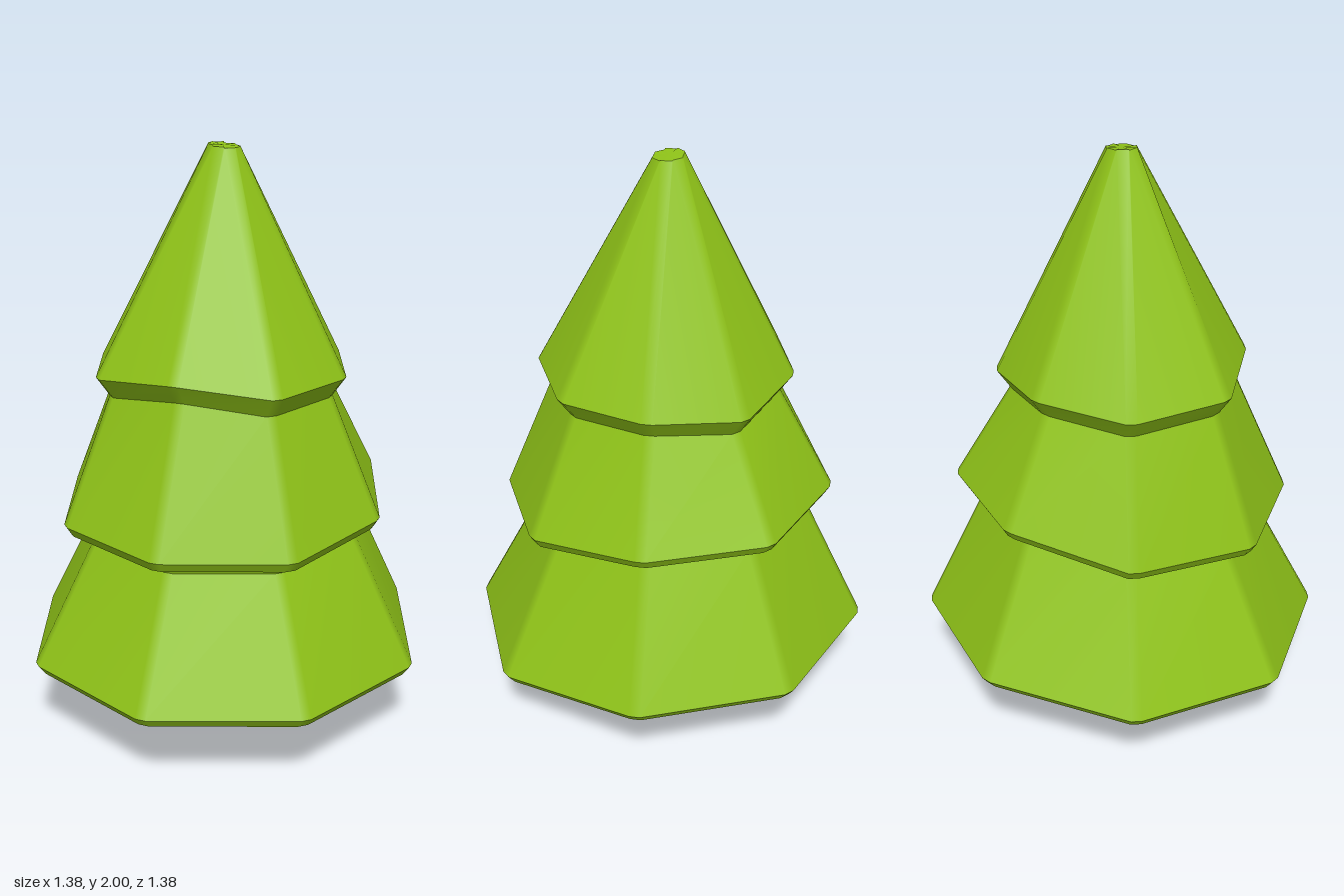
import * as THREE from 'three';

const BEVEL = 0.018; // half width of the small flat on each corner

// Ring of eight bevelled corners, starting at the front and turning towards +x.
// r and y are one number, or eight numbers (one per corner).
function ring(r, y) {
  const at = (v, i) => (Array.isArray(v) ? v[i] : v);
  const points = [];
  for (let i = 0; i < 8; i++) {
    const a = (i * Math.PI) / 4, s = Math.sin(a), c = Math.cos(a);
    for (const t of [-BEVEL, BEVEL]) {
      points.push(new THREE.Vector3(s * at(r, i) + c * t, at(y, i), c * at(r, i) - s * t));
    }
  }
  return points;
}

const shift = (values, d) => values.map((v) => v + d);

// Bands between successive rings; each band has its own vertices so ring edges stay
// sharp, while area-weighted normals round the bevelled corners.
function tier(name, rings, material, { capBottom = false, capTop = false } = {}) {
  const pos = [], index = [];
  const add = (points) => {
    const start = pos.length / 3;
    points.forEach((p) => pos.push(p.x, p.y, p.z));
    return start;
  };
  for (let k = 0; k < rings.length - 1; k++) {
    const a = add(rings[k]), b = add(rings[k + 1]);
    for (let i = 0; i < 16; i++) {
      const j = (i + 1) % 16;
      index.push(a + i, a + j, b + j, a + i, b + j, b + i);
    }
  }
  const cap = (points, up) => {
    const centre = points.reduce((s, p) => s.add(p), new THREE.Vector3()).divideScalar(16);
    const o = add(points), c = add([centre]);
    for (let i = 0; i < 16; i++) {
      const j = (i + 1) % 16;
      if (up) index.push(c, o + i, o + j);
      else index.push(c, o + j, o + i);
    }
  };
  if (capBottom) cap(rings[0], false);
  if (capTop) cap(rings[rings.length - 1], true);
  const geometry = new THREE.BufferGeometry();
  geometry.setAttribute('position', new THREE.Float32BufferAttribute(pos, 3));
  geometry.setIndex(index);
  geometry.computeVertexNormals();
  const mesh = new THREE.Mesh(geometry, material);
  mesh.name = name;
  return mesh;
}

export function createModel() {
  const group = new THREE.Group();
  group.name = 'pineTree';
  const green = new THREE.MeshStandardMaterial({ color: 0x8fc318 });
  const brown = new THREE.MeshStandardMaterial({ color: 0x8a7b62 });

  // Uneven rim heights and radii, corner by corner
  const lowY = [0.275, 0.275, 0.275, 0.33, 0.33, 0.33, 0.295, 0.275];
  const midY = [0.765, 0.765, 0.79, 0.855, 0.855, 0.855, 0.79, 0.765];
  const topY = [1.297, 1.263, 1.263, 1.275, 1.245, 1.27, 1.26, 1.263];
  const midR = [0.57, 0.57, 0.555, 0.56, 0.565, 0.56, 0.565, 0.57];
  const topR = [0.413, 0.44, 0.425, 0.42, 0.415, 0.415, 0.448, 0.445];

  // Shared rings where one tier meets the next
  const lowNeck = ring(0.47, shift(midY, -0.072));
  const midNeck = ring(shift(topR, -0.046), shift(topY, -0.066));

  group.add(
    tier('lowerFoliage',
      [ring(0.665, shift(lowY, -0.031)), ring(0.688, lowY), lowNeck],
      green, { capBottom: true }),
    tier('middleFoliage',
      [lowNeck, ring(0.482, shift(midY, -0.042)), ring(shift(midR, -0.02), shift(midY, -0.033)),
        ring(midR, midY), midNeck],
      green),
    tier('upperFoliage',
      [midNeck, ring(topR, topY),
        ring(0.048, [1.992, 1.988, 1.988, 1.99, 1.993, 1.998, 2, 1.997])],
      green, { capTop: true }),
  );

  // Square trunk, its top hidden inside the foliage
  const trunk = new THREE.Mesh(new THREE.BoxGeometry(0.156, 0.3, 0.156), brown);
  trunk.position.y = 0.15;
  trunk.name = 'trunk';
  group.add(trunk);
  return group;
}
